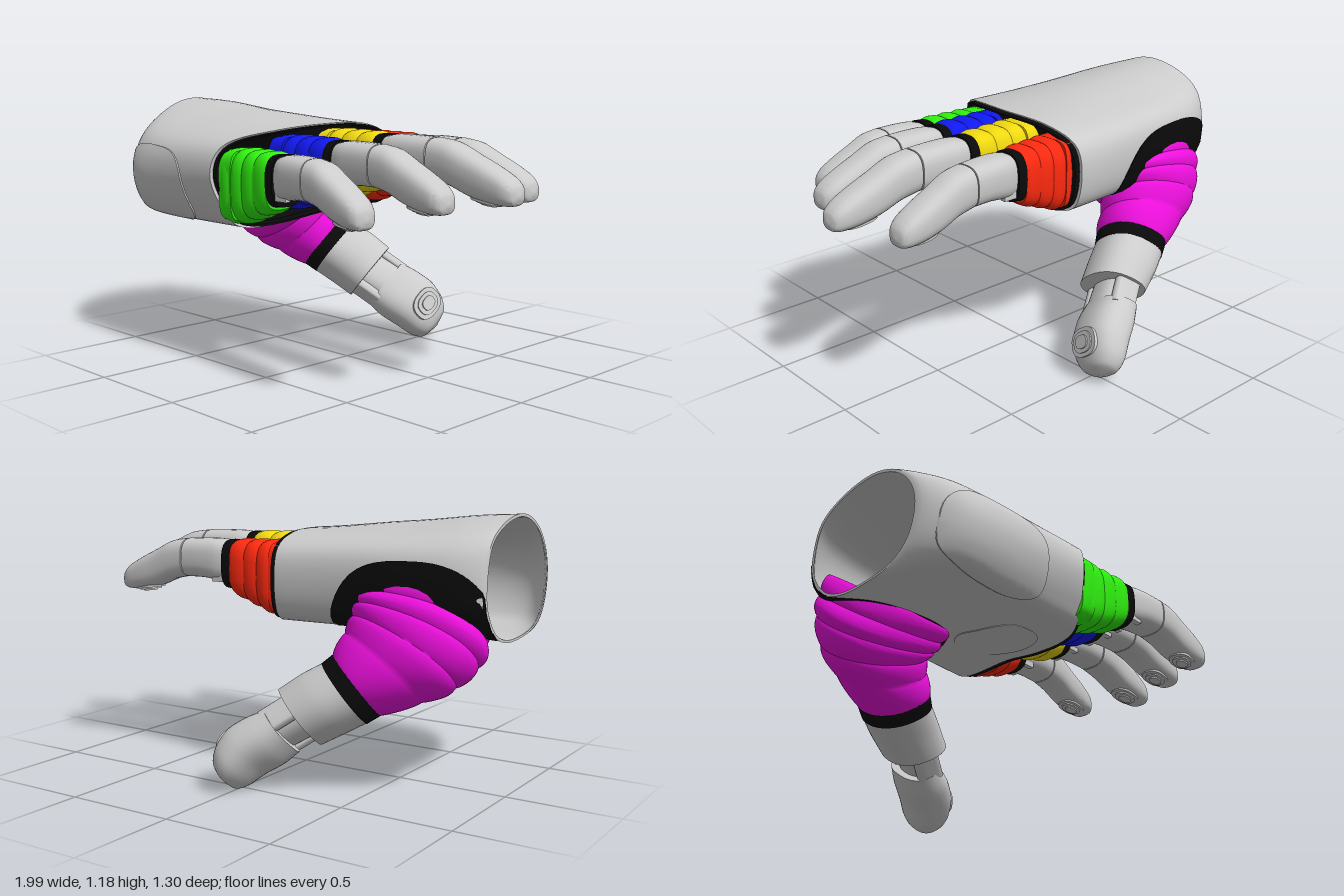
import * as THREE from 'three';
import { toCreasedNormals } from 'three/addons/utils/BufferGeometryUtils.js';

const V = (x, y, z) => new THREE.Vector3(x, y, z);
const GREY = 0xcccccc, BLACK = 0x0a0a0a;
const spow = (s, e) => Math.sign(s) * Math.abs(s) ** e;

function mesh(name, geometry, color = GREY, side = THREE.FrontSide) {
  const m = new THREE.Mesh(geometry, new THREE.MeshStandardMaterial({ color, side }));
  m.name = name;
  return m;
}

// Skins closed rings of points; either caps both ends or joins last ring to first.
function skin(rings, loop = false) {
  const n = rings[0].length, R = rings.length, pts = rings.flat(), idx = [];
  for (let r = 0; r < (loop ? R : R - 1); r++) {
    for (let i = 0; i < n; i++) {
      const j = (i + 1) % n, a = r * n, b = ((r + 1) % R) * n;
      idx.push(a + i, a + j, b + j, a + i, b + j, b + i);
    }
  }
  if (!loop) {
    [0, R - 1].forEach((r) => {
      const c = V(0, 0, 0);
      rings[r].forEach((p) => c.addScaledVector(p, 1 / n));
      pts.push(c);
      for (let i = 0; i < n; i++) {
        const a = r * n + i, b = r * n + (i + 1) % n;
        idx.push(pts.length - 1, ...(r ? [a, b] : [b, a]));
      }
    });
  }
  // Turn the faces outward by the sign of the enclosed volume
  let vol = 0;
  const t = V(0, 0, 0);
  for (let k = 0; k < idx.length; k += 3) {
    vol += pts[idx[k]].dot(t.crossVectors(pts[idx[k + 1]], pts[idx[k + 2]]));
  }
  if (vol < 0) idx.reverse();
  const g = new THREE.BufferGeometry().setFromPoints(pts);
  g.setIndex(idx);
  return toCreasedNormals(g, 0.7);
}

// Stations are [centre, half axis u, half axis v]; sections are superellipses.
function loft(stations, { steps = 16, sides = 32, power = 0.8, rib = () => 1 } = {}) {
  const [c, u, v] = [0, 1, 2].map((k) => new THREE.CatmullRomCurve3(
    stations.map((s) => s[k]), false, 'catmullrom', 0.4));
  const rings = [];
  for (let r = 0; r <= steps; r++) {
    const t = r / steps, C = c.getPoint(t), U = u.getPoint(t), W = v.getPoint(t), ring = [];
    for (let i = 0; i < sides; i++) {
      const a = (i / sides) * Math.PI * 2;
      ring.push(C.clone().addScaledVector(U, spow(Math.cos(a), power) * rib(t))
        .addScaledVector(W, spow(Math.sin(a), power) * rib(t)));
    }
    rings.push(ring);
  }
  return skin(rings);
}
const ribs = (n, depth) => (t) => 1 - depth + depth * 1.6 * Math.abs(Math.sin(t * Math.PI * n)) ** 0.7;

// Palm sections as [z, y], from the wrist to the knuckles
const SECTIONS = [
  [[.1, 1.175], [.25, 1.14], [.36, 1.05], [.41, .92], [.38, .77], [.28, .68], [.1, .65], [-.05, .66], [-.16, .72], [-.23, .85], [-.2, 1.05], [-.08, 1.14]],
  [[.1, 1.165], [.34, 1.11], [.5, 1.02], [.565, .88], [.54, .73], [.45, .65], [.2, .65], [0, .67], [-.2, .7], [-.3, .82], [-.28, 1.03], [-.12, 1.13]],
  [[.1, 1.13], [.35, 1.09], [.55, 1], [.6, .86], [.56, .71], [.47, .64], [.2, .66], [0, .7], [-.23, .7], [-.32, .8], [-.31, 1.02], [-.13, 1.1]],
  [[.1, 1.085], [.35, 1.065], [.56, 1.01], [.62, .88], [.57, .72], [.48, .64], [.2, .68], [0, .71], [-.25, .7], [-.33, .8], [-.315, 1], [-.15, 1.075]],
];
const RAILS = SECTIONS[0].map((_, i) => new THREE.CatmullRomCurve3(
  SECTIONS.map((s) => V(0, s[i][1], s[i][0])), false, 'catmullrom', 0.4));

// Point on the palm: t runs wrist to knuckles, a runs around, scale is about the middle
function palmSection(t, scale) {
  const w = Math.min(1, Math.max(0, t)) ** 0.6;
  const curve = new THREE.CatmullRomCurve3(RAILS.map((r) => r.getPoint(w)), true, 'catmullrom', 0.5);
  return (a) => {
    const p = curve.getPoint(((a % 1) + 1) % 1);
    const end = -0.02 - (p.z > 0.05 ? 0.6 : 0.25) * (p.z - 0.05) ** 2;
    return V(-0.99 + t * (end + 0.99), 0.88 + (p.y - 0.88) * scale, 0.12 + (p.z - 0.12) * scale);
  };
}
function palmRing(t, scale, n = 72) {
  const at = palmSection(t, scale);
  return Array.from({ length: n }, (_, i) => at(i / n));
}

// Rounded panel lying on the palm surface, its rim turned down into the shell
function palmPatch(t0, tr, a0, ar, scale, power = 0.75) {
  const N = 48, M = 8, pts = [], idx = [];
  for (let r = 0; r <= M + 1; r++) {
    for (let i = 0; i < N; i++) {
      const th = (i / N) * Math.PI * 2, k = Math.min(1, r / M);
      const t = Math.max(0, t0 + tr * k * spow(Math.cos(th), power));
      pts.push(palmSection(t, r > M ? 0.99 : scale)(a0 + ar * k * spow(Math.sin(th), power)));
      if (r <= M) {
        const j = r * N + (i + 1) % N, a = r * N + i;
        idx.push(a, a + N, j + N, a, j + N, j);
      }
    }
  }
  const g = new THREE.BufferGeometry().setFromPoints(pts);
  g.setIndex(idx);
  return toCreasedNormals(g, 0.7);
}

// Stepped grip pad: stacked discs shrinking along the normal
function gripPad(c, u, v, normal, rise) {
  const g = new THREE.Group();
  g.name = 'gripPad';
  for (let i = 0; i < 3; i++) {
    const k = 1 - i * 0.27, U = u.clone().multiplyScalar(k), W = v.clone().multiplyScalar(k);
    const at = (h) => c.clone().addScaledVector(normal, h);
    g.add(mesh('padStep', loft([[at(-0.03), U, W], [at(rise * (i + 1)), U, W]], { steps: 1 })));
  }
  return g;
}

function finger({ name, color, base, ring, tip, z, zTip, top }) {
  const g = new THREE.Group();
  g.name = name;
  const zAt = (x) => z + (zTip - z) * Math.max(0, (x - base) / (tip - base));
  const st = (x, drop, h, w) => [V(x, top - drop, zAt(x)), V(0, 0, w), V(0, h, 0)];
  const L = tip - ring, at = (s, ...r) => st(ring + s * L, ...r);
  g.add(
    mesh('knuckleRoot', loft([st(base - 0.05, .155, .155, .112), st(base + 0.03, .155, .155, .11)],
      { steps: 2, power: 0.45 }), color),
    mesh('ribbedSleeve', loft([st(base - 0.05, .16, .16, .112), st(base + 0.05, .155, .16, .11),
      st((base + ring) / 2, .138, .142, .1), st(ring - 0.045, .12, .122, .092)],
    { steps: 40, power: 0.65, rib: ribs(4, 0.05) }), color),
    mesh('fingerCuff', loft([st(ring - 0.06, .115, .112, .089), st(ring, .11, .11, .086)],
      { steps: 2, power: 0.7 }), BLACK),
    mesh('proximalSegment', loft([at(-0.01, .1, .09, .075), at(0.08, .095, .095, .084),
      at(0.22, .09, .09, .085), at(0.37, .092, .088, .083)], { power: 0.7 })),
    mesh('jointCore', loft([at(0.34, .1, .074, .07), at(0.42, .1, .074, .07)], { steps: 1 })),
    mesh('fingertip', loft([at(0.38, .092, .088, .084), at(0.52, .108, .09, .083), at(0.66, .145, .087, .08),
      at(0.8, .175, .077, .077), at(0.92, .198, .06, .068), at(0.98, .212, .04, .048), at(1, .218, .006, .008)],
    { steps: 30, power: 0.72 })),
    gripPad(at(0.78, .242)[0], V(.12 * L, -.01, 0), V(0, 0, .052), V(-.08, -1, 0).normalize(), 0.007),
  );
  // Hinge lugs under the knuckle
  [-1, 1].forEach((s) => {
    const lug = mesh('hingeLug', new THREE.BoxGeometry(0.07, 0.07, 0.025));
    lug.position.set(ring + 0.03, top - 0.155, zAt(ring) + s * 0.055);
    g.add(lug);
  });
  return g;
}

function thumb() {
  const g = new THREE.Group();
  g.name = 'thumb';
  const U = (k) => V(.75, .535, .385).multiplyScalar(k), W = (k) => V(0, .58, -.81).multiplyScalar(k);
  g.add(
    mesh('thumbSleeve', loft([
      [V(-.64, .8, -.12), V(.31, 0, 0), V(0, .13, -.19)],
      [V(-.65, .69, -.18), V(.31, .05, 0), V(0, .14, -.175)],
      [V(-.61, .59, -.235), V(.235, .09, .03), V(0, .12, -.15)],
      [V(-.44, .46, -.29), U(.16), W(.158)]],
    { steps: 60, sides: 48, power: 0.9, rib: ribs(5, 0.03) }), 0xf010e0),
    mesh('thumbCuff', loft([[V(-.46, .475, -.28), U(.16), W(.158)], [V(-.4, .425, -.315), U(.155), W(.152)]],
      { steps: 2, power: 0.9 }), BLACK),
    mesh('thumbProximal', loft([[V(-.41, .432, -.31), U(.15), W(.15)], [V(-.32, .378, -.35), U(.148), W(.152)],
      [V(-.225, .315, -.385), U(.138), W(.15)]], { power: 0.85 })),
    mesh('thumbJoint', loft([[V(-.26, .33, -.37), U(.075), W(.1)], [V(-.12, .24, -.44), U(.075), W(.1)]], { steps: 1 })),
    mesh('thumbTip', loft([[V(-.165, .255, -.435), U(.09), W(.135)], [V(-.1, .21, -.465), U(.105), W(.143)],
      [V(-.03, .16, -.505), U(.103), W(.14)], [V(.015, .1, -.545), U(.088), W(.123)],
      [V(.04, .06, -.57), U(.06), W(.085)], [V(.05, .046, -.58), U(.006), W(.008)]], { steps: 30 })),
    gripPad(V(.062, .178, -.492), V(-.025, .049, .035), W(.085), V(.92, .31, .22), 0.007),
  );
  // Side lugs of the thumb hinge
  [-1, 1].forEach((s) => {
    const c = V(-.2, .29, -.405).add(W(s * .105)), d = V(.06, -.045, -.035);
    g.add(mesh('thumbHingeLug', loft([[c.clone().sub(d), U(.06), W(.025)], [c.clone().add(d), U(.06), W(.025)]],
      { steps: 1, power: 0.5 })));
  });
  return g;
}

export function createModel() {
  const model = new THREE.Group();
  model.name = 'mechanicalHand';

  // Hollow palm shell, open at the wrist
  const ts = Array.from({ length: 29 }, (_, i) => (i / 28) ** 1.4);
  model.add(mesh('palmShell', skin([...ts.map((t) => palmRing(t, 1)),
    ...ts.slice().reverse().map((t) => palmRing(t, 0.955))], true)));

  // Dark lining around the knuckles with a bulkhead behind the fingers
  model.add(mesh('knuckleLining', skin([palmRing(0.86, 0.9), palmRing(0.87, 0.96), palmRing(1.03, 0.97),
    palmRing(1.03, 0.93), palmRing(0.98, 0.91), palmRing(0.97, 0.3)]), BLACK));

  // Surface panels and the dark surround of the thumb
  model.add(mesh('sidePanel', palmPatch(0.38, 0.33, 0.3, 0.115, 1.015), GREY, THREE.DoubleSide));
  model.add(mesh('palmPlate', palmPatch(0.78, 0.15, 0.53, 0.075, 1.02), GREY, THREE.DoubleSide));
  model.add(mesh('thumbSurround', palmPatch(0.34, 0.37, 0.69, 0.13, 1.01), BLACK, THREE.DoubleSide));

  model.add(thumb());
  [
    { name: 'indexFinger', color: 0xff2a10, base: -.03, ring: .265, tip: .87, z: -.19, zTip: -.235, top: 1.035 },
    { name: 'middleFinger', color: 0xf0d810, base: -.02, ring: .315, tip: 1, z: .04, zTip: .04, top: 1.055 },
    { name: 'ringFinger', color: 0x1018f0, base: -.06, ring: .265, tip: .87, z: .265, zTip: .315, top: 1.035 },
    { name: 'littleFinger', color: 0x30f010, base: -.14, ring: .17, tip: .695, z: .48, zTip: .582, top: .985 },
  ].forEach((f) => model.add(finger(f)));
  return model;
}
